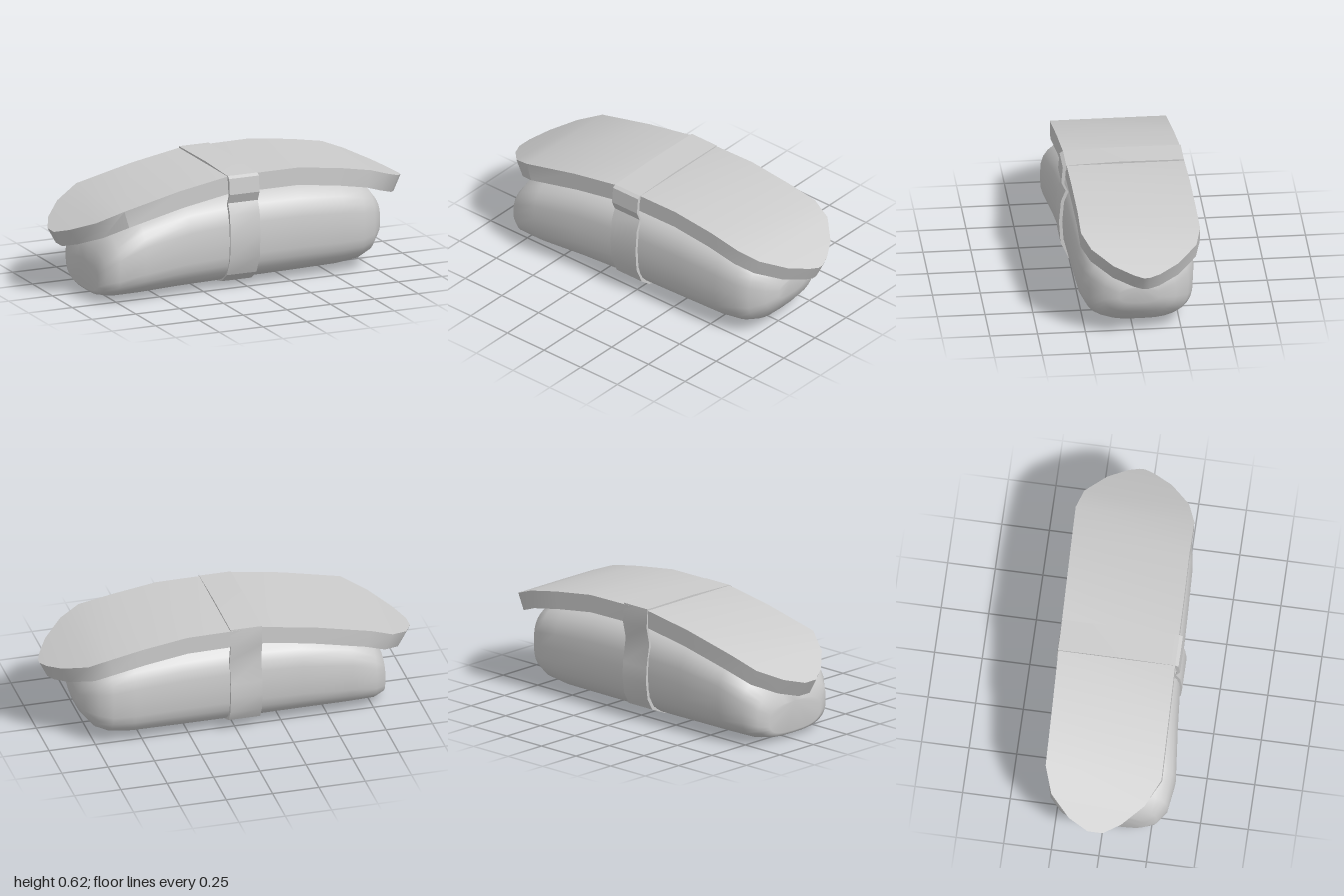
import * as THREE from 'three';
import { toCreasedNormals } from 'three/addons/utils/BufferGeometryUtils.js';

// Skin a series of closed rings ([x, y, z] points) running along +x
function loft(rings, capped) {
  const n = rings[0].length, last = (rings.length - 1) * n, index = [];
  for (let i = 0; i < rings.length - 1; i++) {
    for (let j = 0; j < n; j++) {
      const a = i * n + j, b = i * n + (j + 1) % n;
      index.push(a, b, a + n, b, b + n, a + n);
    }
  }
  if (capped) {
    for (let j = 1; j < n - 1; j++) index.push(0, j + 1, j, last, last + j, last + j + 1);
  }
  const geo = new THREE.BufferGeometry();
  geo.setAttribute('position', new THREE.Float32BufferAttribute(rings.flat(2), 3));
  geo.setIndex(index);
  geo.computeVertexNormals();
  return geo;
}

// Rounded-square cross-section filling a box in y and z
function roundedRing([x, y0, y1, z0, z1], sides = 32) {
  const soft = (v) => Math.sign(v) * Math.abs(v) ** (2 / 2.9);
  return Array.from({ length: sides }, (_, k) => {
    const t = (k / sides) * Math.PI * 2;
    return [x, (y0 + y1) / 2 + soft(Math.cos(t)) * (y1 - y0) / 2,
      (z0 + z1) / 2 + soft(Math.sin(t)) * (z1 - z0) / 2];
  });
}

export function createModel() {
  const group = new THREE.Group();
  const material = new THREE.MeshStandardMaterial({ color: 0xcccccc, side: THREE.DoubleSide });
  const add = (name, geometry) => {
    const mesh = new THREE.Mesh(geometry, material);
    mesh.name = name;
    group.add(mesh);
  };

  // Rice block: x, bottom, top, back, front
  const rice = [
    [-0.84, 0.04, 0.2, -0.16, 0.22], [-0.82, 0.02, 0.28, -0.23, 0.28],
    [-0.76, 0.01, 0.36, -0.29, 0.33], [-0.62, 0.01, 0.45, -0.32, 0.352],
    [-0.35, 0.01, 0.51, -0.33, 0.325], [-0.04, 0.01, 0.53, -0.332, 0.3],
    [0.3, 0.013, 0.525, -0.335, 0.29], [0.55, 0.017, 0.5, -0.335, 0.28],
    [0.67, 0.03, 0.465, -0.32, 0.26], [0.74, 0.06, 0.435, -0.29, 0.23],
    [0.8, 0.13, 0.36, -0.22, 0.16], [0.82, 0.19, 0.28, -0.13, 0.08],
  ];
  add('riceBlock', loft(rice.map((r) => roundedRing(r)), true));

  // Arched topping slab: x, top height, back, front
  const slab = [
    [-1, 0.35, -0.06, 0.02], [-0.95, 0.378, -0.165, 0.11], [-0.85, 0.43, -0.27, 0.22],
    [-0.72, 0.495, -0.318, 0.29], [-0.4, 0.568, -0.325, 0.285], [-0.12, 0.615, -0.333, 0.28],
    [0.28, 0.615, -0.343, 0.275], [0.52, 0.583, -0.35, 0.268], [0.7, 0.55, -0.355, 0.268],
    [0.81, 0.508, -0.325, 0.225], [0.92, 0.46, -0.22, 0.12], [0.98, 0.432, -0.12, 0.02],
    [1, 0.422, -0.06, -0.03],
  ];
  const thickness = 0.094;
  const slabRings = slab.map(([x, y, back, front], i) => {
    const p = slab[Math.max(i - 1, 0)], q = slab[Math.min(i + 1, slab.length - 1)];
    const dx = q[0] - p[0], dy = q[1] - p[1], len = Math.hypot(dx, dy);
    const bx = x + (dy / len) * thickness, by = y - (dx / len) * thickness;
    return [[x, y, back], [x, y, front], [bx, by, front], [bx, by, back]];
  });
  add('toppingSlab', toCreasedNormals(loft(slabRings, true), 0.5));

  // Wrapping band: z, y path over the slab and under the rice
  const path = [
    [-0.335, 0.622], [0, 0.625], [0.28, 0.617], [0.298, 0.605], [0.306, 0.52], [0.284, 0.47],
    [0.308, 0.41], [0.318, 0.29], [0.31, 0.17], [0.268, 0.078], [0.205, 0.03], [0.08, 0.008],
    [-0.05, 0], [-0.2, 0.027], [-0.3, 0.068], [-0.334, 0.13], [-0.346, 0.22], [-0.343, 0.3],
    [-0.322, 0.43], [-0.342, 0.52],
  ];
  const bandRing = (x, s) => path.map(([z, y]) => [x, 0.31 + (y - 0.31) * s, -0.02 + (z + 0.02) * s]);
  const band = [[-0.125, 0.95], [-0.125, 1], [0.045, 1], [0.045, 0.95]].map(([x, s]) => bandRing(x, s));
  add('wrappingBand', toCreasedNormals(loft(band, false), 0.4));

  return group;
}
